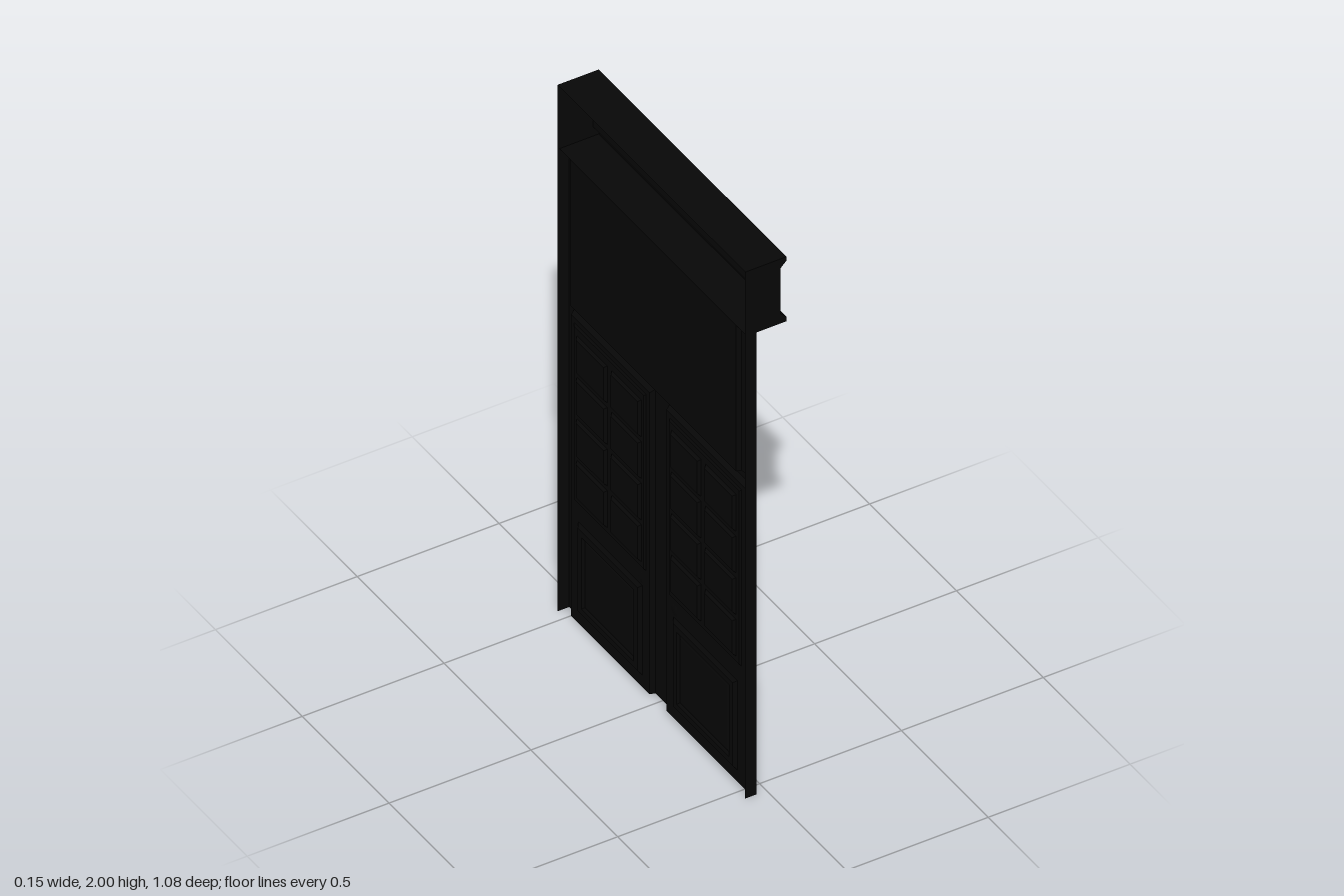
import * as THREE from 'three';

// Local frame: u across, v up, w outwards; the group is turned so w points to +x.
const paint = new THREE.MeshStandardMaterial({ color: 0x070707, side: THREE.DoubleSide });
paint.name = 'black paint';

const FACE = -0.035, LEAF = -0.052, LIGHTS = -0.057, DEEP = -0.066, BACK = -0.075;
const HALF = 0.54, CORNICE = 1.755;

function part(geometry, name, parent) {
  const mesh = new THREE.Mesh(geometry, paint);
  mesh.name = name;
  parent.add(mesh);
  return mesh;
}

// Rectangle as [u0, u1, v0, v1]
const inset = ([a, b, c, d], t) => [a + t, b - t, c + t, d - t];
const corners = ([a, b, c, d]) => [[a, c], [b, c], [b, d], [a, d]];
const toPath = (r, Type) => new Type(corners(r).map(([u, v]) => new THREE.Vector2(u, v)));

// Flat sheet with rectangular openings
function sheet(outline, holes, w) {
  const shape = toPath(outline, THREE.Shape);
  holes.forEach((h) => shape.holes.push(toPath(h, THREE.Path)));
  return new THREE.ShapeGeometry(shape).translate(0, 0, w);
}

// Stepped moulding running through nested rectangles, optionally closed by a field
function moulding(steps, closed) {
  const pos = [];
  const quad = (a, b, c, d) => pos.push(...a, ...b, ...c, ...a, ...c, ...d);
  const rings = steps.map(([r, w]) => corners(r).map(([u, v]) => [u, v, w]));
  for (let i = 0; i + 1 < rings.length; i++) {
    const p = rings[i], q = rings[i + 1];
    for (let k = 0; k < 4; k++) {
      const n = (k + 1) % 4;
      if (k === 0 && p[0][1] === 0 && q[0][1] === 0) continue; // open at the floor
      quad(p[k], p[n], q[n], q[k]);
    }
  }
  if (closed) quad(...rings[rings.length - 1]);
  const g = new THREE.BufferGeometry();
  g.setAttribute('position', new THREE.Float32BufferAttribute(pos, 3));
  g.computeVertexNormals();
  return g;
}

// One door leaf; s = -1 or 1 picks the side
function doorLeaf(s) {
  const leaf = new THREE.Group();
  const side = (a, b, c, d) => (s > 0 ? [a, b, c, d] : [-b, -a, c, d]);
  const opening = side(0.042, 0.508, 0, 1.155);
  const face = side(0.048, 0.5, 0, 1.145);
  const lights = side(0.068, 0.482, 0.455, 1.125);
  const lightsIn = inset(lights, 0.006);
  const panel = side(0.09, 0.458, 0.045, 0.385);

  part(moulding([[opening, FACE], [face, LEAF]], false), 'doorReveal', leaf);
  part(sheet(face, [lights, panel], LEAF), 'doorFace', leaf);
  part(moulding([[lights, LEAF], [lightsIn, LIGHTS]], false), 'lightsFrame', leaf);

  // Two columns and four rows of small panes
  const panes = [];
  for (const [u0, u1] of [[0.087, 0.257], [0.283, 0.458]])
    for (let row = 0; row < 4; row++) {
      const v = 0.48 + row * 0.158;
      panes.push(side(u0, u1, v, v + 0.14));
    }
  part(sheet(lightsIn, panes, LIGHTS), 'glazingBars', leaf);
  panes.forEach((p) =>
    part(moulding([[p, LIGHTS], [inset(p, 0.008), DEEP]], true), 'pane', leaf));

  // Lower panel with a raised field
  part(moulding([
    [panel, LEAF], [inset(panel, 0.012), DEEP + 0.004], [inset(panel, 0.034), DEEP + 0.004],
    [inset(panel, 0.042), LEAF - 0.003], [inset(panel, 0.05), LEAF - 0.006],
  ], true), 'lowerPanel', leaf);

  // Round knob on a short stem
  const profile = [[0, 0], [0.02, 0], [0.02, 0.008], [0.012, 0.014], [0.014, 0.022],
    [0.027, 0.029], [0.034, 0.038], [0.034, 0.048], [0.028, 0.057], [0.016, 0.063], [0, 0.065]];
  const knob = part(new THREE.LatheGeometry(
    profile.map(([r, h]) => new THREE.Vector2(r, h)), 20), 'knob', leaf);
  knob.rotation.x = Math.PI / 2;
  knob.position.set(s * 0.096, 0.414, LEAF);

  return { leaf, opening };
}

export function createModel() {
  const model = new THREE.Group();
  model.name = 'doubleDoor';
  const body = new THREE.Group();
  body.name = 'doorway';
  body.rotation.y = Math.PI / 2;
  model.add(body);

  // Door leaves
  const openings = [1, -1].map((s) => {
    const { leaf, opening } = doorLeaf(s);
    leaf.name = s > 0 ? 'rightLeaf' : 'leftLeaf';
    body.add(leaf);
    return opening;
  });

  // Blank panel above the doors
  const transom = [-0.505, 0.505, 1.195, CORNICE];
  part(moulding([
    [transom, FACE],
    [[-0.5, 0.5, 1.2, CORNICE], -0.05],
    [[-0.482, 0.482, 1.2, CORNICE], -0.053],
    [[-0.478, 0.478, 1.2, CORNICE], -0.069],
  ], true), 'transomPanel', body);

  // Surround: outline notched around the doors, hole for the transom
  const [a, , , top] = openings[0];
  const b = openings[0][1];
  const outline = [[-HALF, 0], [-b, 0], [-b, top], [-a, top], [-a, 0], [a, 0], [a, top],
    [b, top], [b, 0], [HALF, 0], [HALF, CORNICE], [-HALF, CORNICE]];
  const surround = new THREE.Shape(outline.map(([u, v]) => new THREE.Vector2(u, v)));
  surround.holes.push(toPath([-0.505, 0.505, 1.195, CORNICE - 0.0005], THREE.Path));
  part(new THREE.ShapeGeometry(surround).translate(0, 0, FACE), 'surround', body);

  // Side returns
  for (const s of [-1, 1]) {
    const edge = part(new THREE.PlaneGeometry(FACE - BACK, CORNICE), 'sideReturn', body);
    edge.rotation.y = s * Math.PI / 2;
    edge.position.set(s * HALF, CORNICE / 2, (FACE + BACK) / 2);
  }

  // Cornice: hollow profile, open at the back, with closed ends
  const profile = [[BACK, 2], [0.07, 2], [0.07, 1.985], [0.062, 1.977], [0.05, 1.965],
    [0.05, 1.79], [0.062, 1.781], [0.07, 1.773], [0.07, CORNICE], [DEEP - 0.003, CORNICE]];
  for (let i = 0; i + 1 < profile.length; i++) {
    const [w0, v0] = profile[i], [w1, v1] = profile[i + 1];
    const strip = part(new THREE.PlaneGeometry(2 * HALF, Math.hypot(w1 - w0, v1 - v0)),
      'corniceFace', body);
    strip.position.set(0, (v0 + v1) / 2, (w0 + w1) / 2);
    strip.rotation.x = Math.atan2(w0 - w1, v0 - v1);
  }
  const end = new THREE.Shape(
    [...profile, [BACK, CORNICE]].map(([w, v]) => new THREE.Vector2(w, v)));
  for (const s of [-1, 1]) {
    const cap = part(new THREE.ShapeGeometry(end), 'corniceEnd', body);
    cap.rotation.y = -Math.PI / 2;
    cap.position.x = s * HALF;
  }
  return model;
}
